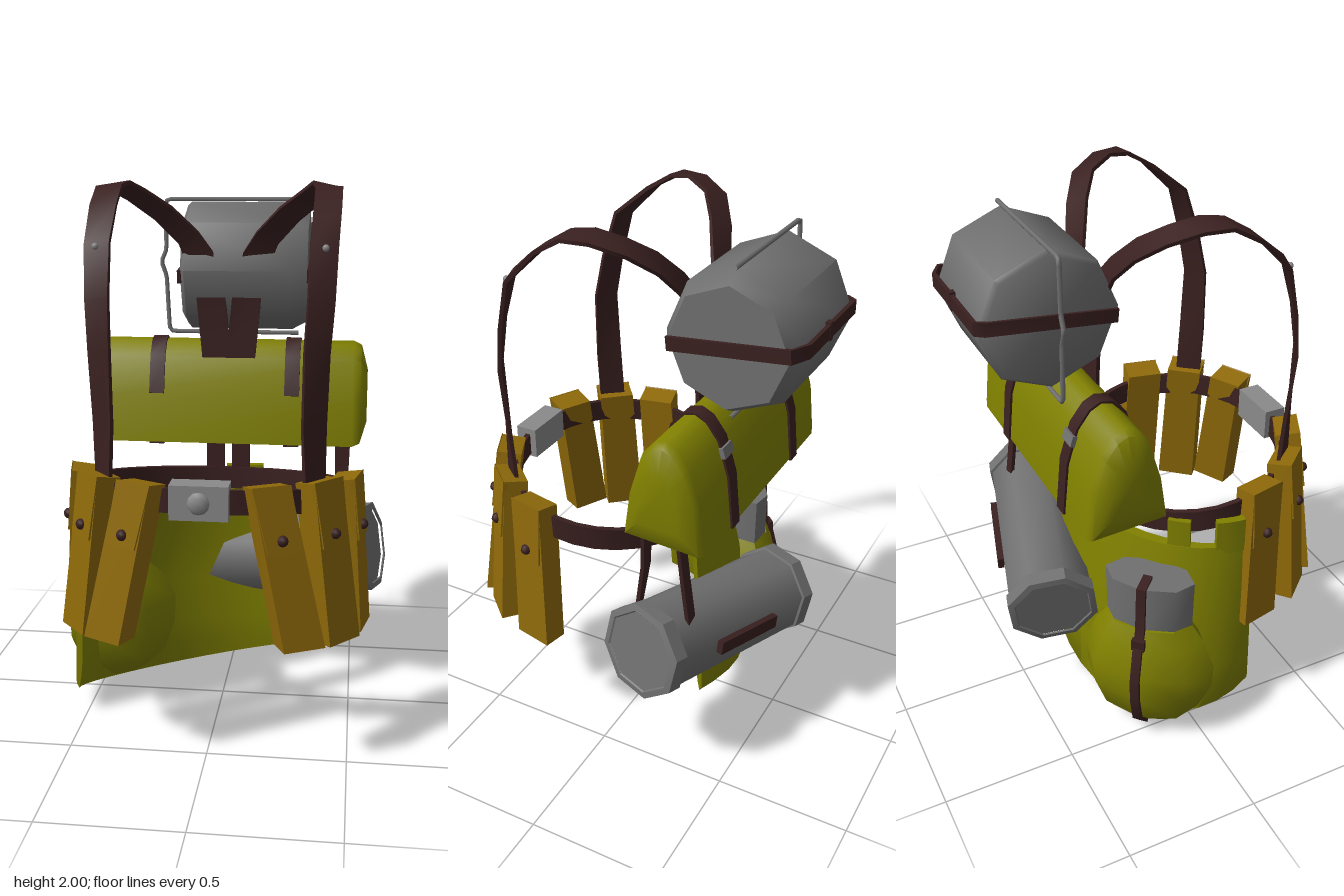
import * as THREE from 'three';
import { toCreasedNormals } from 'three/addons/utils/BufferGeometryUtils.js';

const V = (x, y, z) => new THREE.Vector3(x, y, z);
const mat = (color) => new THREE.MeshStandardMaterial({ color });
const OLIVE = mat(0x808000), GOLD = mat(0x8f6a0a), LEATHER = mat(0x3a2020);
const STEEL = mat(0x707070), BUCKLE = mat(0x8a8a8a);
const CREASE = 0.9;

// Skin a row of closed rings, cap both ends, and face everything outward
function loft(rings) {
  const tris = [], n = rings[0].length;
  for (let i = 0; i < rings.length - 1; i++) {
    for (let j = 0; j < n; j++) {
      const k = (j + 1) % n;
      const a = rings[i][j], b = rings[i][k], c = rings[i + 1][k], d = rings[i + 1][j];
      tris.push([a, b, c], [a, c, d]);
    }
  }
  const mid = (r) => r.reduce((s, p) => s.add(p), V(0, 0, 0)).divideScalar(n);
  const first = rings[0], last = rings[rings.length - 1], m0 = mid(first), m1 = mid(last);
  for (let j = 0; j < n; j++) {
    const k = (j + 1) % n;
    tris.push([m0, first[k], first[j]], [m1, last[j], last[k]]);
  }
  const volume = tris.reduce((s, [a, b, c]) => s + a.dot(b.clone().cross(c)), 0);
  const pts = tris.flatMap(([a, b, c]) => (volume < 0 ? [a, c, b] : [a, b, c]));
  return toCreasedNormals(new THREE.BufferGeometry().setFromPoints(pts), CREASE);
}

// Flat strap along a path; across gives the width direction at each point
function ribbon(path, across, width, thick = 0.014) {
  return loft(path.map((p, i) => {
    const t = path[Math.min(i + 1, path.length - 1)].clone().sub(path[Math.max(i - 1, 0)]).normalize();
    const w = (Array.isArray(across) ? across[i] : across).clone();
    w.addScaledVector(t, -w.dot(t)).normalize();
    const n = t.clone().cross(w).multiplyScalar(thick / 2);
    w.multiplyScalar((Array.isArray(width) ? width[i] : width) / 2);
    return [[1, 1], [-1, 1], [-1, -1], [1, -1]].map(([u, v]) =>
      p.clone().addScaledVector(w, u).addScaledVector(n, v));
  }));
}

export function createModel() {
  const model = new THREE.Group();
  const add = (name, geometry, material, parent = model) => {
    const m = new THREE.Mesh(geometry, material);
    m.name = name;
    parent.add(m);
    return m;
  };
  const box = (name, size, pos, material, parent) => {
    const m = add(name, new THREE.BoxGeometry(...size), material, parent);
    m.position.set(...pos);
    return m;
  };
  const X = V(1, 0, 0), Y = V(0, 1, 0);

  // Belt, higher at the front, with its buckle
  const belt = [];
  for (let i = 0; i <= 32; i++) {
    const a = (i / 32) * Math.PI * 2, z = 0.195 + 0.375 * Math.cos(a);
    belt.push(V(0.465 * Math.sin(a), 0.845 + 0.16 * (z + 0.18), z));
  }
  add('belt', ribbon(belt, Y, 0.085, 0.02), LEATHER);
  box('beltBuckle', [0.2, 0.12, 0.085], [-0.01, 0.97, 0.57], BUCKLE);
  const stud = add('buckleStud', new THREE.SphereGeometry(0.04, 10, 6), BUCKLE);
  stud.position.set(-0.01, 0.97, 0.61);
  stud.scale.z = 0.5;

  // Ammunition pouches, three on each side: top centre, bottom centre, facing angle
  const pouches = [
    [V(0.21, 1.015, 0.555), V(0.33, 0.465, 0.57), 0.47],
    [V(0.38, 1.01, 0.44), V(0.45, 0.45, 0.45), 0.85],
    [V(0.47, 0.985, 0.28), V(0.51, 0.43, 0.26), 1.36],
  ];
  for (const side of [1, -1]) {
    const group = new THREE.Group();
    group.name = side > 0 ? 'leftPouches' : 'rightPouches';
    model.add(group);
    for (const [top, bottom, yaw] of pouches) {
      const out = V(Math.sin(yaw), 0, Math.cos(yaw)), along = V(Math.cos(yaw), 0, -Math.sin(yaw));
      const at = (t, u, v, dy = 0) => {
        const p = bottom.clone().lerp(top, t).addScaledVector(along, u).addScaledVector(out, v);
        p.x *= side;
        p.y += dy;
        return p;
      };
      const slab = (t, w, v0, v1, dy = 0) =>
        [at(t, -w, v0), at(t, w, v0), at(t, w, v1, dy), at(t, -w, v1, dy)];
      add('pouch', loft([slab(0, 0.076, -0.045, 0.045), slab(1, 0.068, -0.045, 0.045, 0.015)]), GOLD, group);
      add('pouchFlap', loft([slab(0.62, 0.062, 0.03, 0.053), slab(1, 0.07, 0.03, 0.047, 0.018)]), GOLD, group);
      const button = add('pouchButton', new THREE.SphereGeometry(0.02, 8, 6), LEATHER, group);
      button.position.copy(at(0.7, 0, 0.053));
    }
  }

  // Shoulder straps: up from the belt, over the top, down the back into the belt
  const strapPath = [
    [0.365, 0.97, 0.44], [0.36, 1.2, 0.45], [0.365, 1.45, 0.46], [0.375, 1.62, 0.43], [0.38, 1.8, 0.38],
    [0.385, 1.92, 0.25], [0.385, 1.98, 0.15], [0.37, 1.985, 0.06], [0.325, 1.95, -0.035], [0.235, 1.88, -0.1],
    [0.15, 1.79, -0.145], [0.11, 1.715, -0.17], [0.07, 1.57, -0.185], [0.05, 1.36, -0.187], [0.05, 1.1, -0.18],
    [0.05, 0.84, -0.18],
  ];
  const strapAcross = [[0.62, 0, -0.78], [0.75, 0, -0.65], [0.86, 0, -0.5], [0.88, 0, -0.4], [0.93, 0, -0.3],
    [1, 0, -0.1], [1, -0.1, 0], [0.9, -0.2, -0.25], [0.75, -0.4, -0.6], [0.65, -0.5, -0.5], [0.85, -0.35, -0.3],
    [1, -0.1, -0.1], [1, 0, 0], [1, 0, 0], [1, 0, 0], [1, 0, 0]];
  const strapWidth = strapPath.map((_, i) => (i < 2 ? 0.1 : i < 11 ? 0.095 : i < 14 ? 0.112 : 0.07));
  for (const side of [1, -1]) {
    const flip = ([x, y, z]) => V(side * x, y, z);
    add('shoulderStrap', ribbon(strapPath.map(flip), strapAcross.map(flip), strapWidth), LEATHER);
    const rivet = add('strapRivet', new THREE.SphereGeometry(0.012, 8, 6), BUCKLE);
    rivet.position.set(side * 0.385, 1.79, 0.392);
  }

  // Bedroll with a bell-shaped section and slightly domed ends
  const rollSection = [[-0.11, 1.0], [-0.135, 1.18], [-0.18, 1.33], [-0.225, 1.38], [-0.265, 1.39],
    [-0.305, 1.37], [-0.35, 1.31], [-0.39, 1.18], [-0.41, 0.985]];
  const rollRing = (x, s) => rollSection.map(([z, y]) =>
    V(x, 1.17 + (y - 1.17) * s, -0.26 + (z + 0.26) * s));
  add('bedroll', loft([rollRing(-0.535, 0.5), rollRing(-0.51, 0.93), rollRing(-0.48, 1),
    rollRing(0.485, 1), rollRing(0.515, 0.93), rollRing(0.54, 0.5)]), OLIVE);
  const wrap = [[-0.133, 1.19], [-0.177, 1.333], [-0.223, 1.384], [-0.265, 1.394], [-0.306, 1.374],
    [-0.353, 1.312], [-0.394, 1.18], [-0.414, 0.982], [-0.26, 0.986], [-0.12, 0.996]];
  for (const x of [-0.278, 0.25]) {
    add('bedrollStrap', ribbon(wrap.map(([z, y]) => V(x, y, z)), X, 0.058, 0.01), LEATHER);
    box('bedrollStrapBuckle', [0.07, 0.04, 0.02], [x, 1.27, -0.37], STEEL).rotation.x = 0.3;
  }

  // Mess tin with a bevelled lid, wire handle and strap
  const tinRing = (x, r) => Array.from({ length: 8 }, (_, i) =>
    V(x, 1.665 + r * Math.cos(i * Math.PI / 4), -0.385 + r * Math.sin(i * Math.PI / 4)));
  add('messTin', loft([tinRing(-0.185, 0.235), tinRing(-0.17, 0.25), tinRing(0.235, 0.25), tinRing(0.3, 0.215)]), STEEL);
  add('messTinStrap', ribbon([V(-0.188, 1.64, -0.145), V(-0.188, 1.69, -0.61), V(-0.17, 1.69, -0.637),
    V(0.24, 1.69, -0.637), V(0.302, 1.688, -0.605), V(0.306, 1.645, -0.17)], Y, 0.05), LEATHER);
  box('messTinBuckle', [0.025, 0.065, 0.02], [0.06, 1.69, -0.635], LEATHER);
  const wire = [[0.26, 1.925], [0.0, 1.925], [-0.26, 1.925], [-0.275, 1.91], [-0.275, 1.73], [-0.295, 1.68],
    [-0.275, 1.62], [-0.265, 1.42], [-0.25, 1.4], [0, 1.4], [0.26, 1.4]].map(([x, y]) => V(x, y, -0.385));
  add('wireHandle', new THREE.TubeGeometry(
    new THREE.CatmullRomCurve3(wire, false, 'catmullrom', 0.1), 80, 0.009, 6), STEEL);

  // Haversack: a curved panel round the belt that swells outward at the bottom, most in the middle
  const shell = (phi, y, f) => {
    const swell = f * (0.35 + 0.65 * Math.sin(2 * phi));
    return V(0.19 - (0.68 + swell) * Math.sin(phi), y, 0.24 - (0.46 + swell) * Math.cos(phi));
  };
  const bagRings = [];
  for (let i = 0; i <= 12; i++) {
    const phi = (i / 12) * Math.PI / 2, hem = 0.1 * (1 - Math.sin(2 * phi));
    const section = [[0, 0.78], [0.04, 0.55], [0.055, 0.4], [0.065, 0.22], [0.085, 0.1 + hem / 2], [0.11, hem],
      [0.14, hem + 0.02], [0.13, 0.25], [0.1, 0.5], [0.04, 0.78]];
    bagRings.push(section.map(([f, y]) => shell(phi, y, f)));
  }
  add('haversack', loft(bagRings), OLIVE);
  for (const [start, span] of [[0.08, 0.21], [0.95, 0.15], [1.28, 0.22]]) {
    const loop = [0, 1 / 3, 2 / 3, 1].map((d) => shell(start + d * span, 0.82, 0.02));
    add('haversackLoop', ribbon(loop, Y, 0.14, 0.03), OLIVE);
  }

  // Canteen in its cover with a cup on top, facing back and to the right
  const canteen = new THREE.Group();
  canteen.name = 'canteen';
  canteen.position.set(-0.43, 0, -0.14);
  canteen.rotation.y = -Math.PI * 0.75;
  model.add(canteen);
  const profile = [[0, 0.02], [0.1, 0.025], [0.2, 0.1], [0.25, 0.22], [0.255, 0.32], [0.21, 0.44], [0.16, 0.51], [0, 0.51]];
  const cover = new THREE.LatheGeometry(profile.map(([r, y]) => new THREE.Vector2(r, y)), 8).scale(1, 1, 0.65);
  add('canteenCover', toCreasedNormals(cover, CREASE), OLIVE, canteen);
  const cup = new THREE.CylinderGeometry(0.17, 0.165, 0.22, 8).scale(1, 1, 0.55);
  add('canteenCup', toCreasedNormals(cup, CREASE), STEEL, canteen).position.y = 0.59;
  add('canteenStrap', ribbon([[0.705, 0.02], [0.705, 0.098], [0.52, 0.108], [0.44, 0.14], [0.32, 0.17],
    [0.22, 0.166], [0.1, 0.134], [0.015, 0.06]].map(([y, z]) => V(0, y, z)), X, 0.035), LEATHER, canteen);
  box('canteenBuckle', [0.05, 0.045, 0.02], [0, 0.47, 0.13], LEATHER, canteen);

  // Slanted canister with raised rims, pull tab and two hanging straps
  const outer = V(0.58, 0.57, -0.21), inner = V(-0.17, 0.435, -0.42);
  const axis = outer.clone().sub(inner), length = axis.length();
  const canister = new THREE.Group();
  canister.name = 'canister';
  canister.position.copy(outer).add(inner).multiplyScalar(0.5);
  canister.quaternion.setFromUnitVectors(Y, axis.clone().normalize());
  model.add(canister);
  add('canisterBody', toCreasedNormals(new THREE.CylinderGeometry(0.17, 0.17, length - 0.03, 8), CREASE), STEEL, canister);
  for (const end of [1, -1]) {
    const rim = [[0.15, 0.025], [0.155, 0.03], [0.18, 0.025], [0.18, -0.03], [0.16, -0.035]];
    const geo = new THREE.LatheGeometry(rim.map(([r, y]) => new THREE.Vector2(r, y)).reverse(), 8);
    const m = add('canisterRim', toCreasedNormals(geo, 0.5), STEEL, canister);
    m.position.y = end * (length / 2 - 0.025);
    if (end < 0) m.rotation.x = Math.PI;
  }
  const tab = [0.3, 0.5, 0.7].map((t) => inner.clone().lerp(outer, t).add(V(0.05, 0.02, -0.168)));
  add('canisterTab', ribbon(tab, Y, 0.05, 0.025), LEATHER);
  add('canisterStrap', ribbon([V(0.45, 1.02, -0.17), V(0.45, 0.85, -0.165), V(0.46, 0.66, -0.14)],
    X, [0.06, 0.05, 0.03]), LEATHER);
  add('canisterStrap', ribbon([V(0.45, 1.02, -0.3), V(0.45, 0.85, -0.32), V(0.45, 0.66, -0.345)], X, 0.05), LEATHER);

  return model;
}
